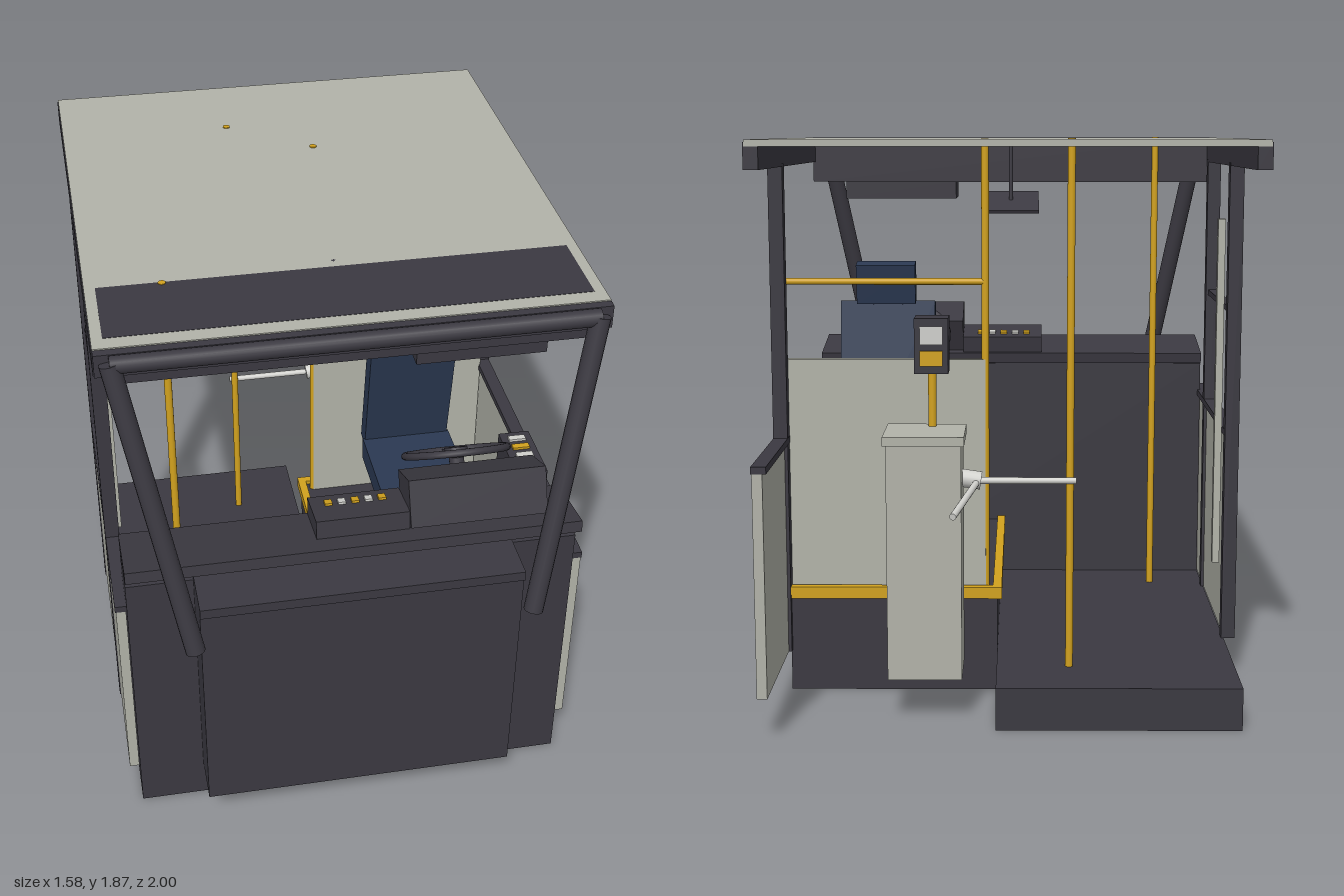
import * as THREE from 'three';

const mat = (name, color) => {
  const m = new THREE.MeshStandardMaterial({ color });
  m.name = name;
  return m;
};

export function createModel() {
  const root = new THREE.Group();
  root.name = 'driverCab';
  const dark = mat('charcoal', 0x3b3941);
  const light = mat('warmGrey', 0xb2b3a9);
  const yellow = mat('safetyYellow', 0xd2a21e);
  const blue = mat('seatBlue', 0x2b3952);
  const pale = mat('paleGrey', 0xd0d0cc);

  const add = (name, geo, material, parent = root) => {
    const m = new THREE.Mesh(geo, material);
    m.name = name;
    parent.add(m);
    return m;
  };
  // Box given by its min and max on each axis
  const box = (name, material, x0, x1, y0, y1, z0, z1, parent) => {
    const m = add(name, new THREE.BoxGeometry(x1 - x0, y1 - y0, z1 - z0), material, parent);
    m.position.set((x0 + x1) / 2, (y0 + y1) / 2, (z0 + z1) / 2);
    return m;
  };
  // Box given by centre and size, tilted about x
  const tilted = (name, material, c, s, rx) => {
    const m = add(name, new THREE.BoxGeometry(...s), material);
    m.position.set(...c);
    m.rotation.x = rx;
    return m;
  };
  // Round bar between two points
  const bar = (name, material, a, b, r, sides = 16) => {
    const p = new THREE.Vector3(...a), q = new THREE.Vector3(...b);
    const d = q.clone().sub(p);
    const m = add(name, new THREE.CylinderGeometry(r, r, d.length(), sides), material);
    m.position.copy(p).add(q).multiplyScalar(0.5);
    m.quaternion.setFromUnitVectors(new THREE.Vector3(0, 1, 0), d.normalize());
    return m;
  };

  // Floor: low aisle beside the raised driver podium
  box('aisleFloor', dark, -0.75, 0.04, 0, 0.14, -0.89, 0.57);
  box('driverPodium', dark, 0.04, 0.745, 0, 0.35, -0.49, 0.57);
  box('podiumSideEdge', yellow, 0.025, 0.055, 0.325, 0.365, -0.505, 0.57);
  box('podiumRearEdge', yellow, 0.025, 0.745, 0.325, 0.365, -0.505, -0.475);

  // Front body
  box('frontBody', dark, -0.75, 0.745, 0, 0.985, 0.57, 0.77);
  box('frontPanel', dark, -0.53, 0.525, 0.14, 0.985, 0.77, 0.93);
  box('frontShelf', dark, -0.53, 0.525, 0.965, 1.0, 0.74, 0.94);
  tilted('dashLedge', dark, [0, 1.03, 0.68], [1.5, 0.04, 0.26], 0.17 * -1);

  // Side walls with dark caps
  box('rightWall', light, 0.752, 0.785, 0.14, 0.857, -1, 0.74);
  box('rightWallCap', dark, 0.74, 0.788, 0.857, 0.88, -1, 0.74);
  box('leftWall', light, -0.785, -0.752, 0.14, 0.857, -0.32, 0.74);
  box('leftWallCap', dark, -0.788, -0.74, 0.857, 0.88, -0.32, 0.74);

  // Posts and window rail
  for (const [x, z] of [[-0.765, -0.325], [-0.765, 0.355], [0.765, -0.49]])
    box('sidePost', dark, x - 0.024, x + 0.024, 0.14, 1.79, z - 0.023, z + 0.023);
  box('windowRail', dark, -0.78, -0.75, 1.28, 1.3, -0.32, 0.35);
  box('doorGrabBar', light, -0.735, -0.71, 0.4, 1.6, -0.3, -0.27);

  // Roof, rails and front header
  box('roof', light, -0.785, 0.785, 1.85, 1.87, -1, 0.735);
  for (const s of [-1, 1])
    box('roofRail', dark, s * 0.765 - 0.023, s * 0.765 + 0.023, 1.78, 1.862, -0.999, 0.74);
  box('headerBox', dark, -0.75, 0.75, 1.705, 1.871, 0.39, 0.68);
  box('frontBeam', dark, -0.785, 0.785, 1.79, 1.866, 0.7, 0.765);
  box('overheadUnit', dark, 0.21, 0.63, 1.64, 1.705, 0.43, 0.64);

  // Round front frame
  bar('frameTop', dark, [-0.74, 1.84, 0.78], [0.74, 1.84, 0.78], 0.028);
  for (const s of [-1, 1])
    bar('frontPillar', dark, [s * 0.74, 1.845, 0.78], [s * 0.552, 0.86, 0.968], 0.032);

  // Interior mirror
  bar('mirrorRod', dark, [0, 1.63, 0.35], [0, 1.87, 0.35], 0.008);
  tilted('mirror', dark, [0, 1.63, 0.34], [0.21, 0.012, 0.165], -0.42);

  // Yellow grab poles
  for (const [x, z, y] of [[0.08, -0.45, 0.35], [-0.2, -0.66, 0.14], [-0.545, 0.395, 0.14]])
    bar('grabPole', yellow, [x, y, z], [x, 1.873, z], 0.0125);
  bar('seatRail', yellow, [0.08, 1.4, -0.45], [0.75, 1.4, -0.45], 0.011);
  box('driverPartition', light, 0.08, 0.745, 0.35, 1.14, -0.465, -0.435);

  // Dashboard instruments
  tilted('instrumentCluster', dark, [0.42, 1.115, 0.64], [0.46, 0.16, 0.16], 0.4 * -1);
  tilted('switchPanel', dark, [0.035, 1.07, 0.64], [0.31, 0.075, 0.17], -0.17);
  for (let i = 0; i < 5; i++)
    tilted('dashSwitch', i % 2 ? pale : yellow, [-0.06 + i * 0.045, 1.104, 0.605], [0.025, 0.012, 0.03], -0.17);

  // Steering wheel and column, axis leaning towards the driver
  const wheel = new THREE.Group();
  wheel.name = 'steeringWheel';
  wheel.position.set(0.42, 1.115, 0.415);
  wheel.quaternion.setFromUnitVectors(new THREE.Vector3(0, 0, 1), new THREE.Vector3(0, 0.82, -0.572).normalize());
  root.add(wheel);
  add('wheelRim', new THREE.TorusGeometry(0.175, 0.013, 10, 40), dark, wheel);
  for (let i = 0; i < 3; i++) {
    const spoke = add('wheelSpoke', new THREE.BoxGeometry(0.17, 0.022, 0.012), dark, wheel);
    const a = Math.PI / 2 + i * Math.PI * 2 / 3;
    spoke.position.set(Math.cos(a) * 0.085, Math.sin(a) * 0.085, 0);
    spoke.rotation.z = a;
  }
  add('wheelHub', new THREE.CylinderGeometry(0.04, 0.04, 0.03, 20), dark, wheel).rotation.x = Math.PI / 2;
  bar('steeringColumn', dark, [0.42, 1.1, 0.425], [0.42, 0.8, 0.575], 0.026);

  // Pedals
  for (const x of [0.35, 0.44, 0.53])
    tilted('pedal', dark, [x, 0.43, 0.53], [0.06, 0.12, 0.015], 0.5);

  // Driver seat
  box('seatBase', dark, 0.31, 0.53, 0.35, 0.59, -0.22, 0.12);
  box('seatCushion', blue, 0.25, 0.59, 0.59, 0.68, -0.3, 0.21);
  tilted('seatBack', blue, [0.42, 0.98, -0.275], [0.325, 0.67, 0.07], 0.17);
  tilted('headrest', blue, [0.42, 1.385, -0.315], [0.2, 0.135, 0.065], -0.17);
  for (const x of [0.37, 0.47])
    bar('headrestStem', dark, [x, 1.29, -0.23], [x, 1.37, -0.31], 0.008);

  // Side console with switches
  box('sideConsole', dark, 0.64, 0.75, 0.7, 1.0, 0.19, 0.43);
  for (let i = 0; i < 4; i++)
    box('consoleSwitch', i % 2 ? yellow : pale, 0.665, 0.725, 1.0, 1.009, 0.22 + i * 0.05, 0.245 + i * 0.05);

  // Turnstile pedestal with ticket reader
  box('turnstileBody', light, 0.15, 0.39, 0.14, 0.91, -0.81, -0.58);
  box('turnstileCap', light, 0.14, 0.4, 0.91, 0.94, -0.82, -0.57);
  bar('readerStem', yellow, [0.25, 0.94, -0.61], [0.25, 1.13, -0.61], 0.0135);
  box('ticketReader', dark, 0.195, 0.305, 1.12, 1.3, -0.67, -0.56);
  box('readerScreen', pale, 0.213, 0.287, 1.215, 1.275, -0.675, -0.67);
  box('readerPad', yellow, 0.213, 0.287, 1.145, 1.195, -0.675, -0.67);
  bar('turnstileHub', pale, [0.16, 0.78, -0.67], [0.09, 0.77, -0.67], 0.03);
  bar('turnstileArm', pale, [0.1, 0.77, -0.67], [-0.22, 0.77, -0.67], 0.011);
  bar('turnstileArm', pale, [0.1, 0.77, -0.67], [0.17, 0.72, -0.98], 0.011);

  return root;
}
